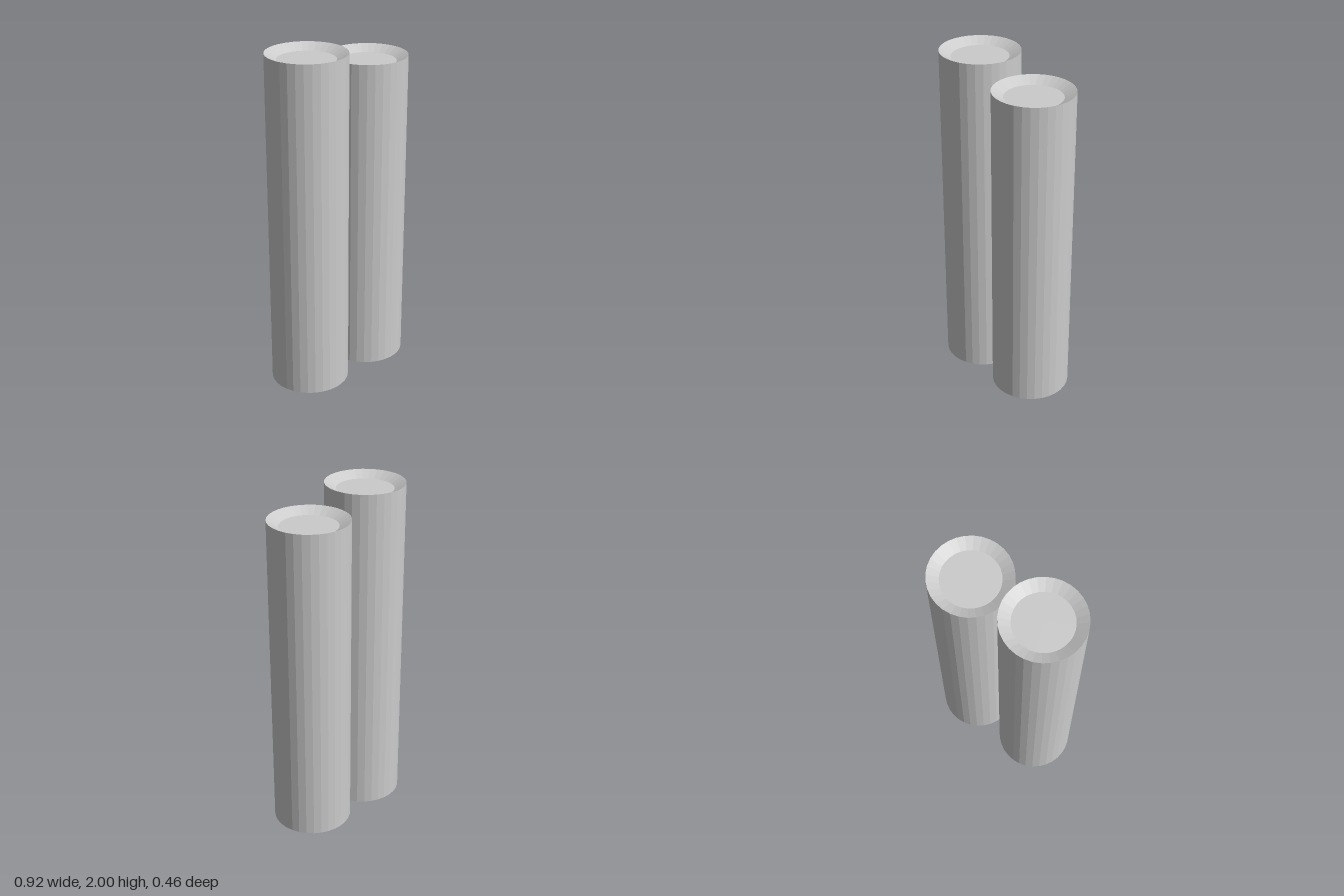
import * as THREE from 'three';

const RADIUS = 0.23;
const FLOOR_RADIUS = 0.164;
const RECESS = 0.036;
const SIDES = 32;

// Closed faceted tube with a shallow dished top
function makeTube(name, x, bottom, top, material) {
  const profile = [
    [0, bottom],
    [RADIUS, bottom],
    [RADIUS, top],
    [FLOOR_RADIUS, top - RECESS],
    [0, top - RECESS],
  ].map(([r, y]) => new THREE.Vector2(r, y));
  const tube = new THREE.Mesh(new THREE.LatheGeometry(profile, SIDES), material);
  tube.name = name;
  tube.position.x = x;
  return tube;
}

export function createModel() {
  const group = new THREE.Group();
  group.name = 'pairedTubes';
  const material = new THREE.MeshStandardMaterial({ color: 0xcccccc, flatShading: true });

  // Two tubes touching side by side, the left one slightly shorter at both ends
  group.add(makeTube('rightTube', -RADIUS, 0, 2, material));
  group.add(makeTube('leftTube', RADIUS, 0.015, 1.905, material));
  return group;
}
